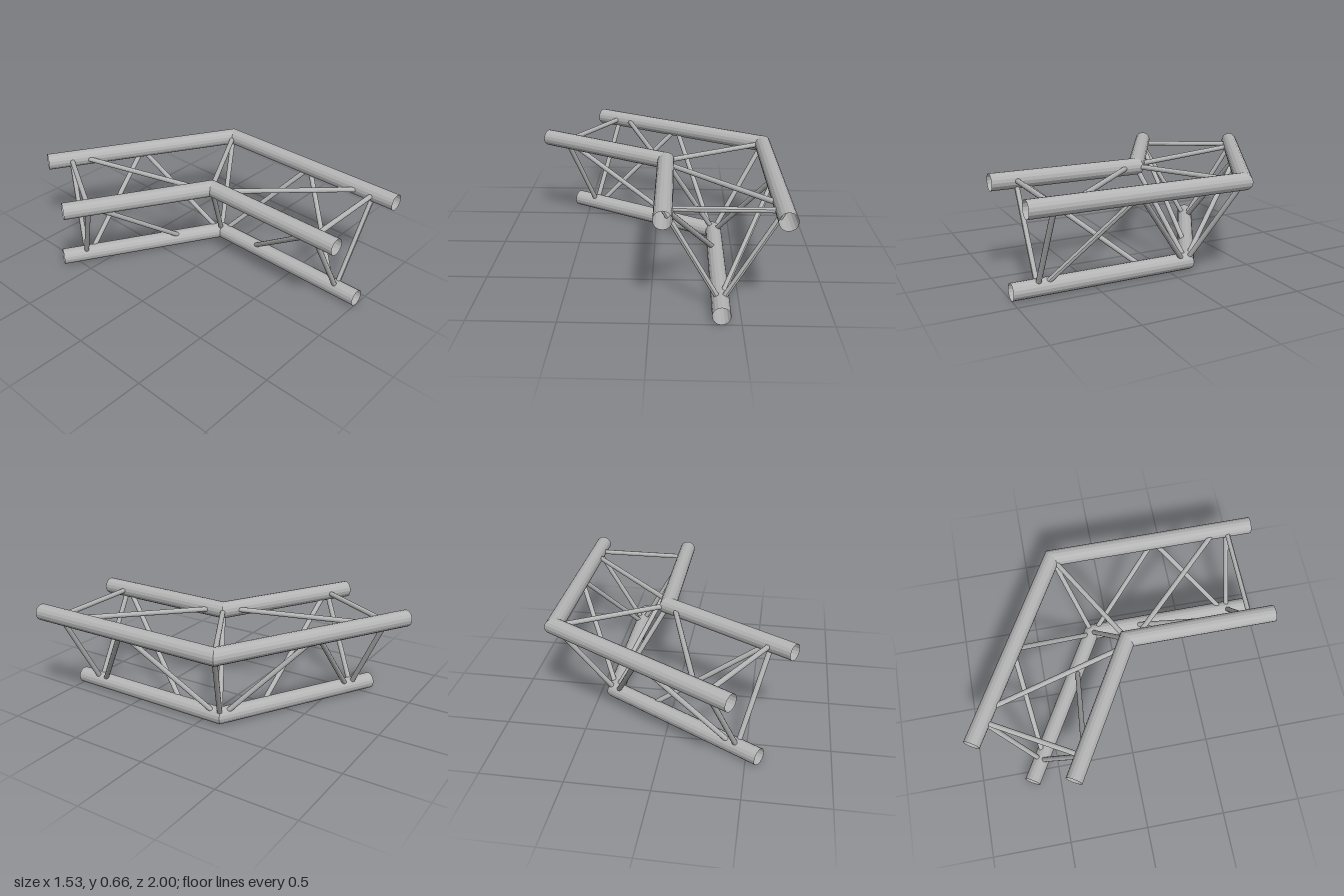
import * as THREE from 'three';

const R = 0.052, BRACE_R = 0.016, TAN30 = Math.tan(Math.PI / 6);

// Corner point of each chord; every leg leaves the corner for the length given
const chords = {
  inner: { corner: new THREE.Vector3(0.07, 0.606, 0.065), length: 0.935 },
  outer: { corner: new THREE.Vector3(0.71, 0.606, -0.305), length: 1.305 },
  bottom: { corner: new THREE.Vector3(0.39, 0.052, -0.12), length: 1.12 },
};

// The two legs mirror each other across the mitre plane
const legs = [
  { name: 'front', angle: 0, slope: -TAN30 },
  { name: 'rear', angle: -Math.PI * 2 / 3, slope: TAN30 },
];

// Braces of one leg: chord, distance from the open end, chord, distance
const braces = [
  ['topStrut', 'inner', 0.155, 'outer', 0.155],
  ['innerStrut', 'inner', 0.155, 'bottom', 0.155],
  ['outerStrut', 'outer', 0.155, 'bottom', 0.155],
  ['topDiagonal', 'inner', 0.88, 'outer', 0.23],
  ['innerDiagonal', 'inner', 0.17, 'bottom', 0.83],
  ['outerDiagonal', 'outer', 0.643, 'bottom', 0.187],
  ['outerCornerDiagonal', 'outer', 0.64, 'bottom', 1.1],
];

export function createModel() {
  const model = new THREE.Group();
  model.name = 'cornerTruss';
  const metal = new THREE.MeshStandardMaterial({ color: 0xb4b4b4, flatShading: true, side: THREE.DoubleSide });
  metal.name = 'grey metal';

  // Open tube along +z whose start ring is cut on the mitre
  function chordTube(length, slope) {
    const g = new THREE.CylinderGeometry(R, R, length, 16, 1, true);
    g.rotateX(Math.PI / 2).translate(0, 0, length / 2);
    const p = g.attributes.position;
    for (let i = 0; i < p.count; i++) {
      if (p.getZ(i) < length / 2) p.setZ(i, slope * p.getX(i));
    }
    g.computeVertexNormals();
    return g;
  }

  // Thin round bar between two points
  function bar(name, a, b) {
    const d = b.clone().sub(a);
    const mesh = new THREE.Mesh(new THREE.CylinderGeometry(BRACE_R, BRACE_R, d.length(), 12), metal);
    mesh.name = name;
    mesh.position.copy(a).addScaledVector(d, 0.5);
    mesh.quaternion.setFromUnitVectors(new THREE.Vector3(0, 1, 0), d.normalize());
    return mesh;
  }

  for (const leg of legs) {
    const group = new THREE.Group();
    group.name = leg.name + 'Leg';
    const dir = new THREE.Vector3(Math.sin(leg.angle), 0, Math.cos(leg.angle));
    const pointOn = (key, fromEnd) =>
      chords[key].corner.clone().addScaledVector(dir, chords[key].length - fromEnd);

    // Main chords
    for (const [key, c] of Object.entries(chords)) {
      const tube = new THREE.Mesh(chordTube(c.length, leg.slope), metal);
      tube.name = key + 'Chord';
      tube.position.copy(c.corner);
      tube.rotation.y = leg.angle;
      group.add(tube);
    }
    // Struts and diagonals
    for (const [name, a, s, b, t] of braces) group.add(bar(name, pointOn(a, s), pointOn(b, t)));
    model.add(group);
  }

  // Triangle of struts in the mitre plane
  for (const [a, b] of [['inner', 'outer'], ['inner', 'bottom'], ['outer', 'bottom']]) {
    model.add(bar('cornerStrut', chords[a].corner, chords[b].corner));
  }
  return model;
}
